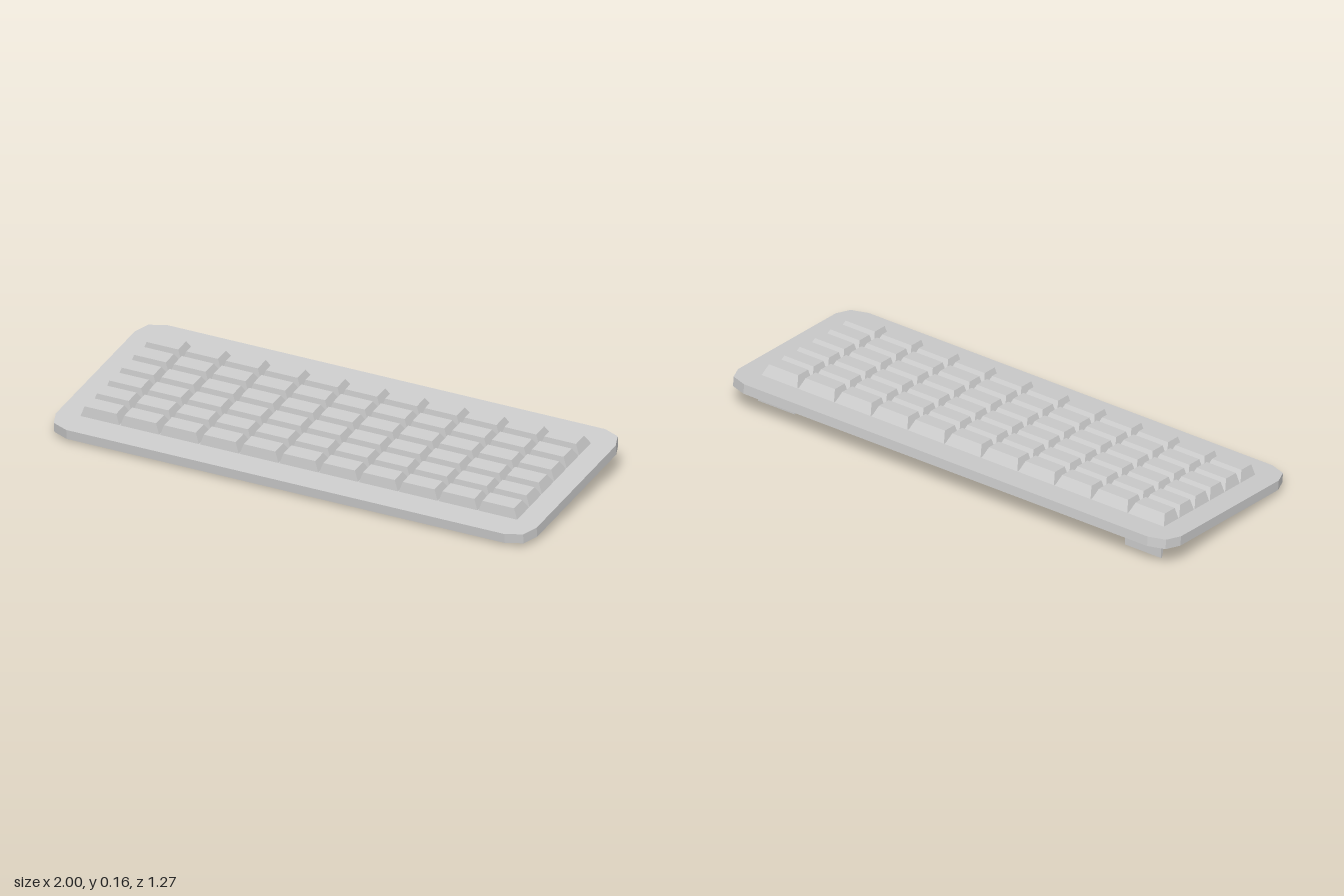
import * as THREE from 'three';

const material = new THREE.MeshStandardMaterial({ color: 0xcccccc, flatShading: true });
const YAW = -0.323;
const TILT = 0.11;
const THICKNESS = 0.037;

function addMesh(parent, name, geometry) {
  const mesh = new THREE.Mesh(geometry, material);
  mesh.name = name;
  parent.add(mesh);
  return mesh;
}

// Flat slab with two-facet rounded corners, bottom at y = 0
function slabGeometry() {
  const quarter = [[0.955, 0.295], [0.932, 0.353], [0.87, 0.377]];
  const back = [...quarter].reverse();
  const outline = [
    ...quarter,
    ...back.map(([x, y]) => [-x, y]),
    ...quarter.map(([x, y]) => [-x, -y]),
    ...back.map(([x, y]) => [x, -y]),
  ];
  const shape = new THREE.Shape(outline.map(([x, y]) => new THREE.Vector2(x, y)));
  const geometry = new THREE.ExtrudeGeometry(shape, { depth: THICKNESS, bevelEnabled: false });
  return geometry.rotateX(-Math.PI / 2);
}

// Keycap: box whose top is drawn in, steep at the front and sloped at the back
function keyGeometry(width, depth, height) {
  const geometry = new THREE.BoxGeometry(width, height, depth).translate(0, height / 2, 0);
  const p = geometry.attributes.position;
  for (let i = 0; i < p.count; i++) {
    if (p.getY(i) < height / 2) continue;
    p.setX(i, p.getX(i) - Math.sign(p.getX(i)) * 0.014);
    p.setZ(i, p.getZ(i) + (p.getZ(i) > 0 ? -0.008 : 0.021));
  }
  geometry.computeVertexNormals();
  return geometry;
}

// Wedge-shaped foot, thick where it meets the slab and thin at the floor
function footGeometry(bottom) {
  const width = 0.157;
  const profile = [[0.288, bottom], [0.288, 0.09], [0.26, 0.087], [0.283, bottom]];
  const shape = new THREE.Shape(profile.map(([x, y]) => new THREE.Vector2(x, y)));
  const geometry = new THREE.ExtrudeGeometry(shape, { depth: width, bevelEnabled: false });
  return geometry.translate(0, 0, -width / 2).rotateY(Math.PI / 2);
}

export function createModel() {
  const model = new THREE.Group();
  model.name = 'keyboard';

  const body = new THREE.Group();
  body.name = 'body';
  body.rotation.y = YAW;
  model.add(body);

  // Tilted case
  const board = new THREE.Group();
  board.name = 'board';
  board.position.y = 0.0525;
  board.rotation.x = TILT;
  body.add(board);
  addMesh(board, 'case', slabGeometry());

  // Key grid
  const keys = new THREE.Group();
  keys.name = 'keys';
  keys.position.y = THICKNESS;
  board.add(keys);
  const columns = 11, rows = 6, pitchX = 0.158, pitchZ = 0.0925;
  const key = keyGeometry(pitchX - 0.004, pitchZ - 0.004, 0.039);
  for (let r = 0; r < rows; r++) {
    for (let c = 0; c < columns; c++) {
      addMesh(keys, 'key', key).position.set(
        (c - (columns - 1) / 2) * pitchX, 0, (r - (rows - 1) / 2) * pitchZ);
    }
  }

  // Rear feet, the right one longer reaching the floor
  addMesh(body, 'leftFoot', footGeometry(0.022)).position.x = 0.79;
  addMesh(body, 'rightFoot', footGeometry(0)).position.x = -0.79;

  return model;
}
